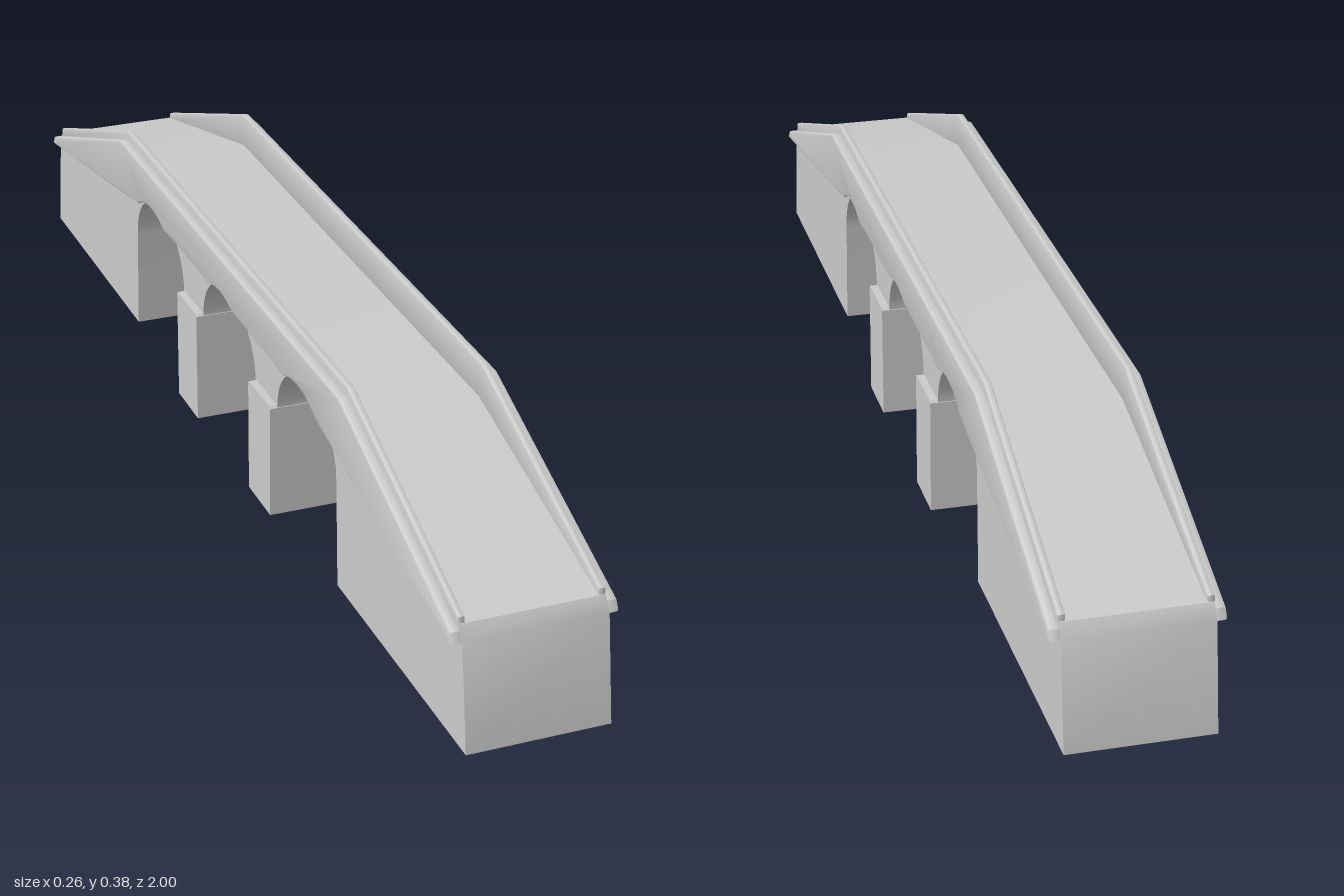
import * as THREE from 'three';
import { toCreasedNormals } from 'three/addons/utils/BufferGeometryUtils.js';

const SPRING = 0.197, RX = 0.13, RY = 0.105, ARCHES = [0.362, 0, -0.362];
const V = (z, y) => new THREE.Vector2(z, y);

// Extrudes a (z, y) side profile across x, between x0 and x1
function across(name, points, x0, x1, bevel = 0) {
  const geo = new THREE.ExtrudeGeometry(new THREE.Shape(points), {
    depth: x1 - x0 - 2 * bevel,
    bevelEnabled: bevel > 0,
    bevelSize: bevel,
    bevelThickness: bevel,
    bevelOffset: -bevel,
    bevelSegments: 2,
  });
  geo.rotateY(-Math.PI / 2);
  geo.translate(x1 - bevel, 0, 0);
  const mesh = new THREE.Mesh(
    toCreasedNormals(geo, 0.5),
    new THREE.MeshStandardMaterial({ color: 0xcccccc })
  );
  mesh.name = name;
  return mesh;
}

// Underside height of an arch at z, or 0 outside the openings
function archHeight(z) {
  for (const c of ARCHES) {
    const t = (z - c) / RX;
    if (Math.abs(t) < 1) return SPRING + RY * Math.sqrt(1 - t * t);
  }
  return 0;
}

// Lower edge of the side walls: rising along the ramps, level in the middle
function trimHeight(z) {
  const a = Math.abs(z);
  if (a > 0.53) return THREE.MathUtils.mapLinear(a, 0.53, 0.975, 0.264, 0.188);
  if (a > 0.44) return THREE.MathUtils.mapLinear(a, 0.44, 0.53, 0.276, 0.264);
  return THREE.MathUtils.mapLinear(a, 0.25, 0.44, 0.292, a > 0.25 ? 0.276 : 0.292);
}

export function createModel() {
  const bridge = new THREE.Group();
  bridge.name = 'bridge';

  // Main body with three arches, ramps and deck
  const body = [V(1, 0.015), V(0.5, 0.015)];
  for (const c of ARCHES) {
    for (let i = 0; i <= 28; i++) {
      const a = (i / 28) * Math.PI;
      body.push(V(c + RX * Math.cos(a), SPRING + RY * Math.sin(a)));
    }
  }
  body.push(
    V(-0.5, 0.015), V(-1, 0.015), V(-0.976, 0.19), V(-0.962, 0.212),
    V(-0.53, 0.323), V(0.53, 0.323), V(0.962, 0.212), V(0.976, 0.19)
  );
  bridge.add(across('archedBody', body, -0.115, 0.115));

  // Outer wall profile, its lower edge cut by the arch crowns
  const wall = [V(0.975, trimHeight(0.975)), V(0.53, trimHeight(0.53))];
  for (let i = 0; i <= 88; i++) {
    const z = 0.44 - i * 0.01;
    wall.push(V(z, Math.max(trimHeight(z), archHeight(z))));
  }
  wall.push(
    V(-0.53, trimHeight(0.53)), V(-0.975, trimHeight(0.975)),
    V(-0.967, 0.204), V(-0.535, 0.365), V(0.535, 0.365), V(0.967, 0.204)
  );

  // Inner parapet profile, standing on the deck
  const parapet = [
    V(0.962, 0.205), V(0.53, 0.31), V(-0.53, 0.31), V(-0.962, 0.205),
    V(-0.96, 0.222), V(-0.535, 0.381), V(0.535, 0.381), V(0.96, 0.222),
  ];

  for (const side of [1, -1]) {
    const label = side > 0 ? 'left' : 'right';
    const place = (name, pts, a, b, bevel) => bridge.add(
      across(label + name, pts, Math.min(side * a, side * b), Math.max(side * a, side * b), bevel)
    );
    place('OuterWall', wall, 0.109, 0.131, 0.004);
    place('Parapet', parapet, 0.104, 0.116, 0.003);
  }

  // Two piers between the arches, with a slightly chamfered top
  for (const z of [0.181, -0.181]) {
    const pier = [
      V(z + 0.051, 0), V(z + 0.051, 0.196), V(z + 0.047, 0.2),
      V(z - 0.047, 0.2), V(z - 0.051, 0.196), V(z - 0.051, 0),
    ];
    bridge.add(across(z > 0 ? 'frontPier' : 'backPier', pier, -0.128, 0.128));
  }
  return bridge;
}
